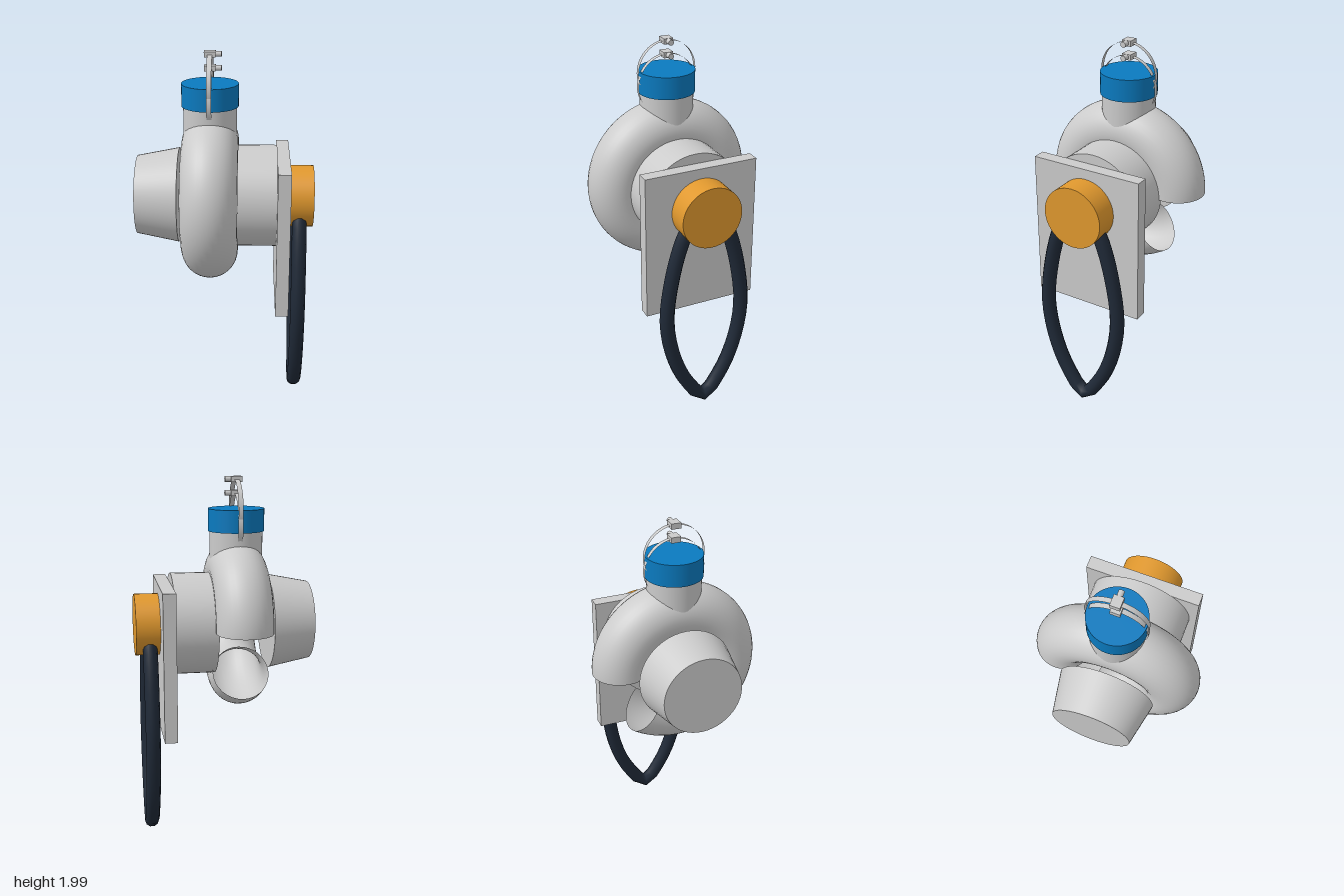
import * as THREE from 'three';

const AXIS_Y = 1.208; // height of the main shaft
const NECK_X = -0.08; // centre of the scroll and its outlet

export function createModel() {
  const model = new THREE.Group();
  model.name = 'turbineUnit';

  const material = (color, side = THREE.FrontSide) =>
    new THREE.MeshStandardMaterial({ color, side });
  const grey = material(0xcccccc);
  const greyThin = material(0xcccccc, THREE.DoubleSide);
  const blue = material(0x0a7abf);
  const orange = material(0xe0982e);
  const rubber = material(0x1f2937, THREE.DoubleSide);

  const add = (name, geometry, mat, x, y, z = 0, parent = model) => {
    const mesh = new THREE.Mesh(geometry, mat);
    mesh.name = name;
    mesh.position.set(x, y, z);
    parent.add(mesh);
    return mesh;
  };
  // Cylinder along x from x0 (radius r0) to x1 (radius r1)
  const shaft = (name, x0, x1, r0, r1, mat, y = AXIS_Y, parent = model, sides = 48, open = false) =>
    add(name, new THREE.CylinderGeometry(r1, r0, x1 - x0, sides, 1, open).rotateZ(-Math.PI / 2),
      mat, (x0 + x1) / 2, y, 0, parent);

  // Scroll: an open-ended torus with a gap at the lower back
  const scroll = add('scrollHousing',
    new THREE.TorusGeometry(0.304, 0.152, 32, 80, Math.PI * 1.7), greyThin, NECK_X, AXIS_Y);
  scroll.rotation.y = Math.PI / 2;

  // Parts along the shaft
  shaft('intakeCone', -0.48, -0.25, 0.215, 0.26, grey);
  shaft('shaftTip', -0.25, -0.215, 0.042, 0, orange, AXIS_Y, model, 24);
  shaft('bearingHousing', 0.05, 0.28, 0.277, 0.277, grey);
  add('mountingPlate', new THREE.BoxGeometry(0.07, 0.805, 0.63), grey, 0.315, 1.028);
  shaft('endCap', 0.35, 0.48, 0.168, 0.168, orange);

  // Outlet on top
  add('outletNeck', new THREE.CylinderGeometry(0.143, 0.143, 0.26, 48), grey, NECK_X, 1.59);
  add('outletSleeve', new THREE.CylinderGeometry(0.152, 0.152, 0.12, 48), blue, NECK_X, 1.77);

  // Two thin upright band clamps, each with a block and bolt
  for (const top of [1.911, 1.984]) {
    const clamp = new THREE.Group();
    clamp.name = 'bandClamp';
    model.add(clamp);
    shaft('clampBand', NECK_X - 0.013, NECK_X + 0.013, 0.163, 0.163, greyThin,
      top - 0.163, clamp, 48, true);
    add('clampBlock', new THREE.BoxGeometry(0.06, 0.03, 0.052), grey, NECK_X, top, 0, clamp);
    shaft('clampBolt', NECK_X, -0.018, 0.015, 0.015, grey, top, clamp, 16);
  }

  // Hanging hose loop, pointed at the bottom: [z, y] of one side, mirrored
  const side = [[0.075, 1.19], [0.132, 1.075], [0.19, 0.87], [0.223, 0.6],
    [0.185, 0.36], [0.105, 0.17]];
  const points = [...side, [0, 0.047], ...side.map(([z, y]) => [-z, y]).reverse()]
    .map(([z, y]) => new THREE.Vector3(0.405, y, z));
  add('hoseLoop', new THREE.TubeGeometry(new THREE.CatmullRomCurve3(points), 36, 0.04, 10),
    rubber, 0, 0);

  return model;
}
